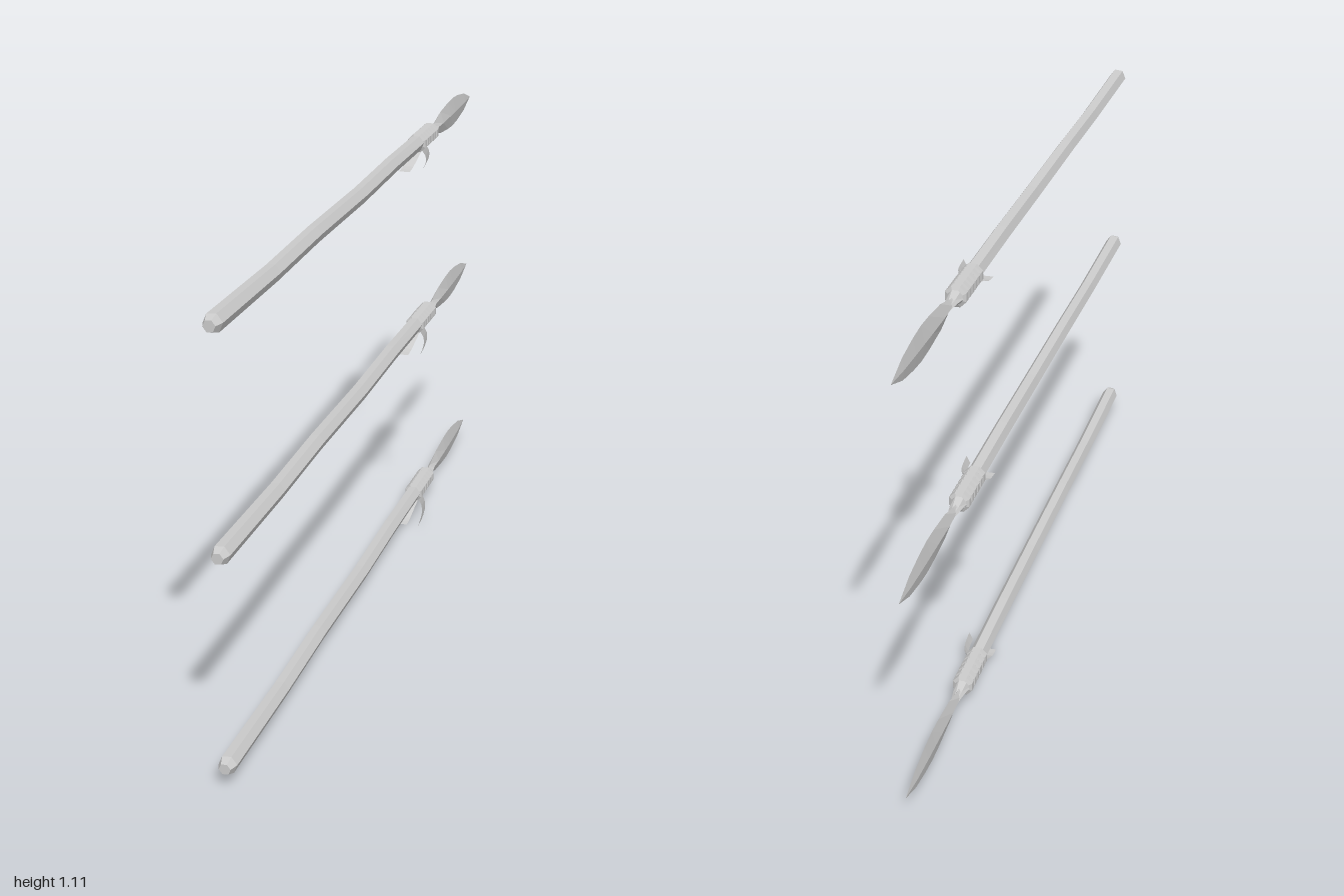
import * as THREE from 'three';

const material = new THREE.MeshStandardMaterial({ color: 0xcccccc, flatShading: true });
const thinMaterial = new THREE.MeshStandardMaterial({ color: 0xcccccc, flatShading: true, side: THREE.DoubleSide });

function gridGeometry(positions, rows, cols, closed) {
  const index = [];
  for (let i = 0; i < rows - 1; i++) {
    for (let j = 0; j < (closed ? cols : cols - 1); j++) {
      const k = (j + 1) % cols;
      const a = i * cols + j, b = i * cols + k, c = a + cols, d = b + cols;
      index.push(a, c, b, b, c, d);
    }
  }
  const g = new THREE.BufferGeometry();
  g.setAttribute('position', new THREE.Float32BufferAttribute(positions, 3));
  g.setIndex(index);
  g.computeVertexNormals();
  return g;
}

// Skin over sections [z, centre x, centre y, radius x, radius y], ordered from +z to -z
function loft(name, sections, sides, turn = 0) {
  const positions = [];
  for (const [z, x, y, rx, ry] of sections) {
    for (let j = 0; j < sides; j++) {
      const a = turn + (j / sides) * Math.PI * 2;
      positions.push(x + rx * Math.cos(a), y + ry * Math.sin(a), z);
    }
  }
  const mesh = new THREE.Mesh(gridGeometry(positions, sections.length, sides, true), material);
  mesh.name = name;
  return mesh;
}

// Flat strip following a curve, with a fixed width direction
function ribbon(name, points, width) {
  const curve = new THREE.CatmullRomCurve3(points.map((p) => new THREE.Vector3(...p)));
  const half = new THREE.Vector3(...width).multiplyScalar(0.5);
  const path = curve.getPoints(6);
  const positions = [];
  for (const p of path) {
    positions.push(...p.clone().add(half).toArray(), ...p.clone().sub(half).toArray());
  }
  const mesh = new THREE.Mesh(gridGeometry(positions, path.length, 2, false), thinMaterial);
  mesh.name = name;
  return mesh;
}

function createSpear() {
  const spear = new THREE.Group();
  spear.name = 'spear';

  // Slightly crooked six-sided shaft, bevelled at the butt and tapered into the blade
  spear.add(loft('shaft', [
    [1, -0.002, 0, 0, 0],
    [1, -0.002, 0, 0.014, 0.014],
    [0.98, -0.002, 0, 0.022, 0.023],
    [0.65, -0.001, -0.004, 0.021, 0.022],
    [0.38, -0.001, 0, 0.021, 0.022],
    [0.05, 0.001, -0.002, 0.021, 0.022],
    [-0.22, 0, 0.002, 0.021, 0.022],
    [-0.45, 0, 0.001, 0.021, 0.021],
    [-0.57, 0, 0, 0.02, 0.02],
    [-0.605, 0, 0, 0.014, 0.008],
    [-0.64, 0, 0, 0.009, 0.005],
    [-0.64, 0, 0, 0, 0],
  ], 6, 0.12));

  // Cord binding: a row of faceted rings
  const binding = new THREE.Group();
  binding.name = 'binding';
  for (let i = 0; i < 6; i++) {
    const z = -0.455 - i * 0.0225;
    binding.add(loft('bindingRing', [
      [z + 0.011, 0, 0, 0.018, 0.018],
      [z + 0.007, 0, 0, 0.026, 0.026],
      [z - 0.007, 0, 0, 0.026, 0.026],
      [z - 0.011, 0, 0, 0.018, 0.018],
    ], 8, Math.PI / 8));
  }
  spear.add(binding);

  // Leaf-shaped blade with a diamond cross-section
  spear.add(loft('blade', [
    [-0.59, 0, 0, 0, 0],
    [-0.59, 0, 0, 0.007, 0.006],
    [-0.62, 0, 0, 0.009, 0.013],
    [-0.68, 0, 0, 0.01, 0.03],
    [-0.76, 0, 0, 0.009, 0.038],
    [-0.81, 0, 0, 0.008, 0.04],
    [-0.86, 0, 0, 0.007, 0.036],
    [-0.93, 0, 0, 0.005, 0.025],
    [-1, 0, 0, 0, 0],
  ], 4));

  // Loose ends of the binding
  spear.add(ribbon('sideStrap', [
    [0.016, -0.01, -0.455], [0.034, -0.018, -0.43], [0.046, -0.026, -0.39], [0.053, -0.031, -0.33],
  ], [-0.009, -0.018, 0]));
  spear.add(ribbon('lowerStrap', [
    [-0.001, -0.02, -0.455], [-0.001, -0.03, -0.415], [-0.003, -0.045, -0.38], [-0.003, -0.05, -0.345],
  ], [0.028, 0, 0]));
  return spear;
}

export function createModel() {
  const model = new THREE.Group();
  model.name = 'spearSet';
  for (let i = 0; i < 3; i++) {
    const spear = createSpear();
    spear.position.set(-0.016, 0.05 + i * 0.511, 0);
    model.add(spear);
  }
  return model;
}
